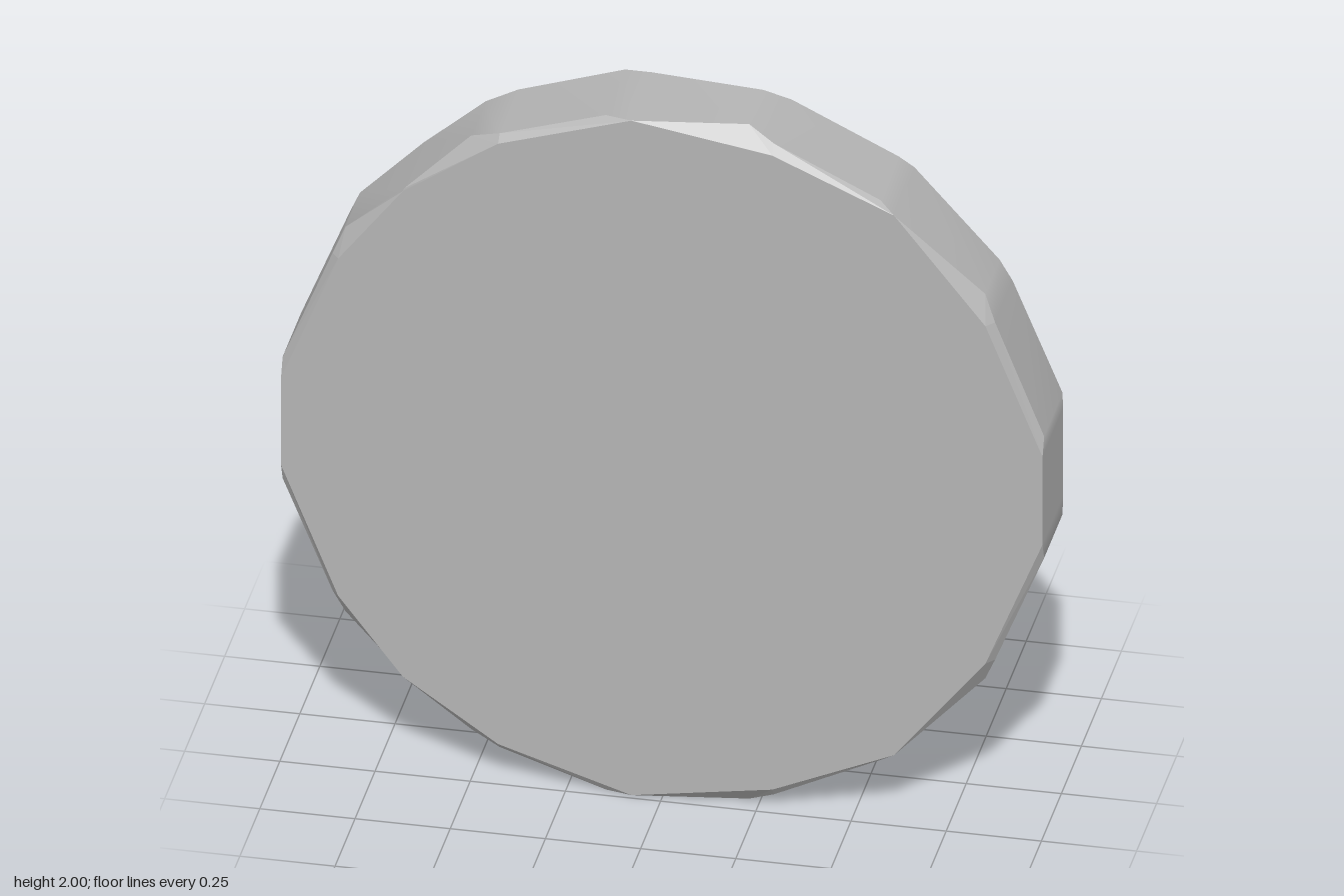
import * as THREE from 'three';
import { mergeVertices } from 'three/addons/utils/BufferGeometryUtils.js';

// Upper half of the girdle, right to left: face x, face y, girdle x, girdle y, girdle front z
const HALF = [
  [1, 1.13, 1, 1.13, 0.235],
  [1, 1.13, 1, 1.18, 0.215],
  [0.85, 1.5, 0.87, 1.5, 0.21],
  [0.85, 1.5, 0.84, 1.57, 0.19],
  [0.61, 1.8, 0.61, 1.8, 0.235],
  [0.61, 1.8, 0.57, 1.83, 0.215],
  [0.29, 1.94, 0.29, 1.965, 0.215],
  [0.29, 1.94, 0.22, 2, 0.19],
  [-0.08, 2, -0.08, 2, 0.235],
  [-0.08, 2, -0.15, 2, 0.22],
  [-0.43, 1.89, -0.43, 1.91, 0.215],
  [-0.43, 1.89, -0.51, 1.88, 0.19],
  [-0.68, 1.72, -0.68, 1.72, 0.22],
  [-0.85, 1.5, -0.84, 1.57, 0.19],
  [-0.85, 1.5, -0.87, 1.5, 0.21],
  [-1, 1.13, -1, 1.18, 0.215],
  [-1, 1.13, -1, 1.13, 0.235],
];
const FRONT = 0.235, BACK = -0.235, INNER = 0.535;

// Triangles joining ring a (nearer the front) to ring b
function strip(a, b) {
  const tris = [];
  a.forEach((p, i) => {
    const j = (i + 1) % a.length;
    tris.push(p, b[i], b[j], p, b[j], a[j]);
  });
  return tris;
}

// Triangles closing a ring, fanned from its first corner
function fan(ring, toBack) {
  const tris = [];
  for (let i = 1; i < ring.length - 1; i++) {
    tris.push(ring[0], ring[toBack ? i + 1 : i], ring[toBack ? i : i + 1]);
  }
  return tris;
}

function surface(tris, smooth) {
  let geo = new THREE.BufferGeometry().setFromPoints(tris);
  if (smooth) geo = mergeVertices(geo, 1e-4);
  geo.computeVertexNormals();
  return geo;
}

export function createModel() {
  const group = new THREE.Group();
  group.name = 'cutDisc';
  const grey = new THREE.MeshStandardMaterial({ color: 0xb4b4b4 });
  grey.name = 'grey';

  // Mirror the half outline downwards to close the ring
  const lower = HALF.map(([fx, fy, x, y, z]) => [fx, 2 - fy, x, 2 - y, z]).reverse();
  const outline = [...HALF, ...lower];
  const V = (x, y, z) => new THREE.Vector3(x, y, z);
  const face = outline.map(([fx, fy]) => V(fx, fy, FRONT));
  const girdleFront = outline.map(([, , x, y, z]) => V(x, y, z));
  const girdleBack = outline.map(([, , x, y, z]) => V(x, y, 0.2 - Math.min(z, 0.22)));
  const crown = outline.map(([fx, fy]) => V(fx * INNER, 1 + (fy - 1) * INNER, BACK));

  const add = (name, tris, smooth) => {
    const mesh = new THREE.Mesh(surface(tris, smooth), grey);
    mesh.name = name;
    group.add(mesh);
  };
  add('frontFace', fan(face, false), false);
  add('frontBevel', strip(face, girdleFront), false);
  add('rim', strip(girdleFront, girdleBack), true);
  // Sloping back and its flat cap share smooth normals
  add('taperedBack', [...strip(girdleBack, crown), ...fan(crown, true)], true);
  return group;
}
